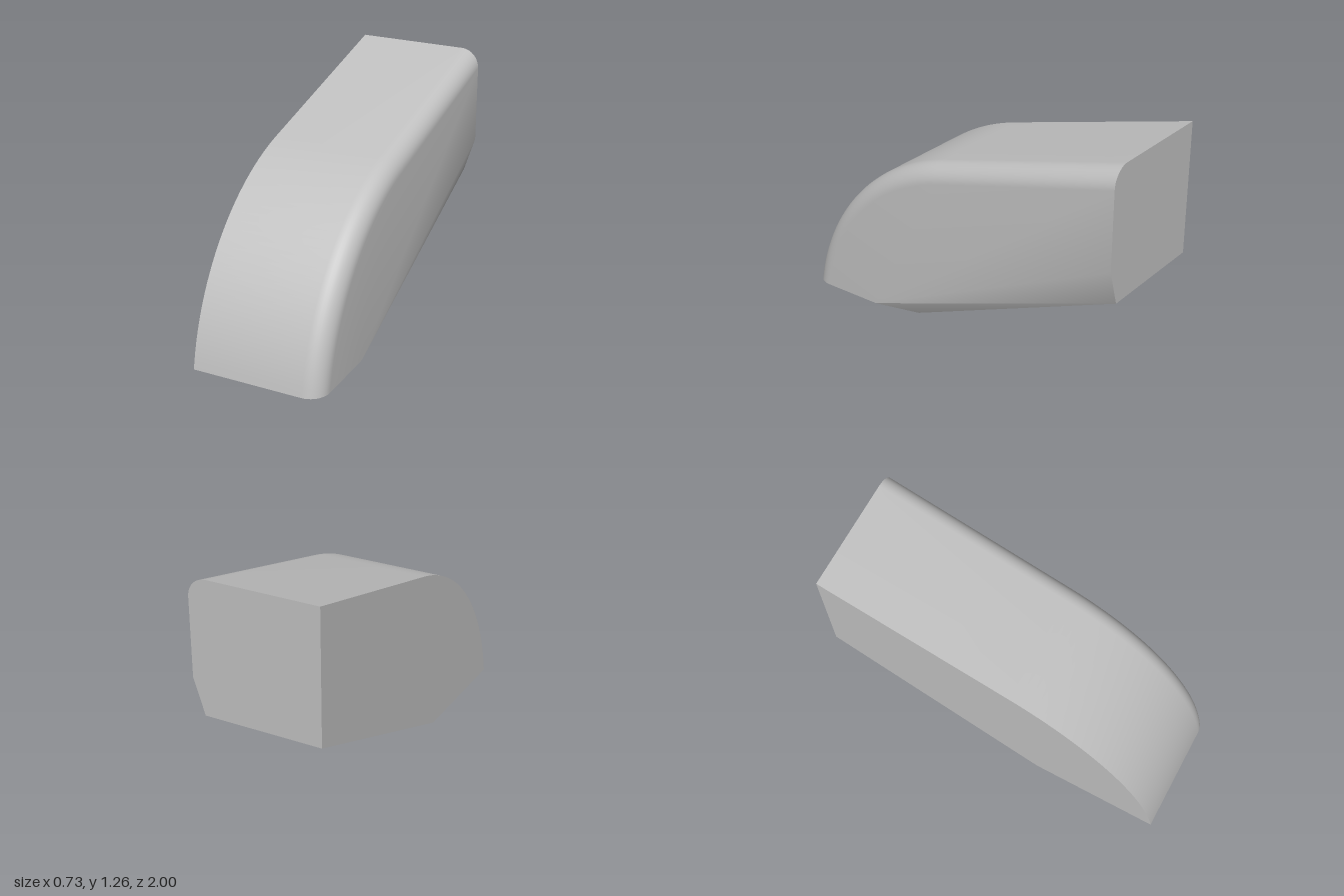
import * as THREE from 'three';
import { toCreasedNormals } from 'three/addons/utils/BufferGeometryUtils.js';

const HALF = 0.363;      // half width
const FILLET = 0.105;    // rounding along the +x top edge
const ARC = { z: -0.205, y: -0.212, r: 1.2235 };
const TILT = Math.atan(0.257); // slope of the straight top
const ARC_STEPS = 28, FILLET_STEPS = 10;

// Top outline at one x, moved inwards by d: nose arc, then straight to the back
function outline(x, d) {
  const r = ARC.r - d;
  const start = Math.asin(-ARC.y / r), end = Math.PI / 2 - TILT;
  const pts = [];
  for (let i = 0; i <= ARC_STEPS; i++) {
    const a = start + (end - start) * i / ARC_STEPS;
    pts.push(new THREE.Vector3(x, i ? ARC.y + r * Math.sin(a) : 0, ARC.z + r * Math.cos(a)));
  }
  // outline runs to the flat back plane
  const last = pts[ARC_STEPS];
  pts.push(new THREE.Vector3(x, last.y + (last.z + 1) * Math.tan(TILT), -1));
  return pts;
}

export function createModel() {
  const group = new THREE.Group();
  const grey = new THREE.MeshStandardMaterial({ color: 0xc0c0c0 });
  grey.name = 'light grey';

  const positions = [];
  const inside = new THREE.Vector3(0, 0.5, 0);
  const tri = (a, b, c) => {
    const n = b.clone().sub(a).cross(c.clone().sub(a));
    if (n.lengthSq() < 1e-14) return;
    // the solid is convex, so every face turns away from its inside
    const order = n.dot(a.clone().sub(inside)) > 0 ? [a, b, c] : [a, c, b];
    order.forEach((p) => positions.push(p.x, p.y, p.z));
  };
  const fan = (pts) => {
    for (let i = 1; i < pts.length - 1; i++) tri(pts[0], pts[i], pts[i + 1]);
  };

  // Top and nose skin with the rounded +x edge
  const rings = [outline(-HALF, 0)];
  for (let i = 0; i <= FILLET_STEPS; i++) {
    const a = (i / FILLET_STEPS) * Math.PI / 2;
    rings.push(outline(HALF - FILLET + FILLET * Math.sin(a), FILLET * (1 - Math.cos(a))));
  }
  for (let i = 0; i < rings.length - 1; i++) {
    for (let j = 0; j < rings[0].length - 1; j++) {
      tri(rings[i][j], rings[i + 1][j], rings[i + 1][j + 1]);
      tri(rings[i][j], rings[i + 1][j + 1], rings[i][j + 1]);
    }
  }

  // Corners of the underside and of the bevel on the +x side
  const v = (x, y, z) => new THREE.Vector3(x, y, z);
  const innerBack = v(-HALF, 0.51, -1), innerFront = v(-HALF, 0, 0.27);
  const lowBack = v(0.3, 0.51, -1), lowFront = v(0.3, 0, 0.27);
  const sideBack = v(HALF, 0.71, -1), sideFront = v(HALF, 0, 0.53);

  fan([innerFront, ...rings[0], innerBack]);                               // flat -x side
  fan([sideFront, ...rings[rings.length - 1], sideBack]);                  // +x side
  fan([lowBack, sideBack, sideFront, lowFront]);                           // bevel
  fan([innerBack, lowBack, lowFront, innerFront]);                         // sloping underside
  fan([innerFront, ...rings.map((r) => r[0]), sideFront, lowFront]);       // level base
  fan([innerBack, ...rings.map((r) => r[r.length - 1]), sideBack, lowBack]); // back

  const geometry = new THREE.BufferGeometry();
  geometry.setAttribute('position', new THREE.Float32BufferAttribute(positions, 3));
  const body = new THREE.Mesh(toCreasedNormals(geometry, THREE.MathUtils.degToRad(30)), grey);
  body.name = 'body';
  group.add(body);
  return group;
}
